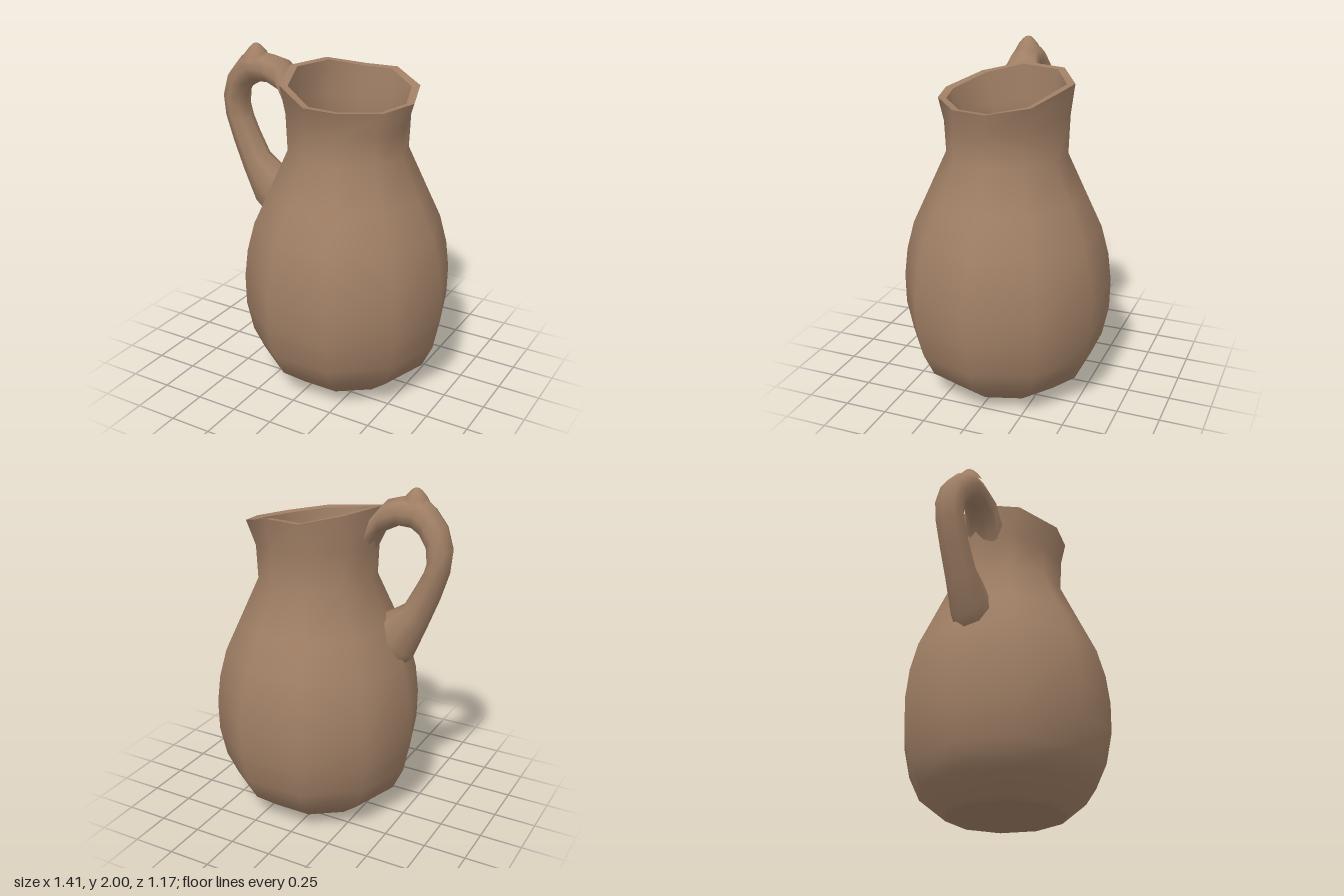
import * as THREE from 'three';

const SIDES = 10;
const CENTRE_X = 0.085;

// Skin a list of closed rings (each a list of [x, y, z]) with smooth normals
function loft(rings) {
  const n = rings[0].length;
  const index = [];
  for (let i = 0; i < rings.length - 1; i++) {
    for (let k = 0; k < n; k++) {
      const a = i * n + k, b = i * n + (k + 1) % n;
      index.push(a, a + n, b, b, a + n, b + n);
    }
  }
  const geometry = new THREE.BufferGeometry();
  geometry.setAttribute('position', new THREE.Float32BufferAttribute(rings.flat(2), 3));
  geometry.setIndex(index);
  geometry.computeVertexNormals();
  return geometry;
}

// Level ten-sided ring of the pot
function ring(r, y) {
  return Array.from({ length: SIDES }, (_, k) => {
    const t = (k / SIDES) * Math.PI * 2;
    return [CENTRE_X + r * Math.cos(t), y, r * Math.sin(t)];
  });
}

// Uneven hand-shaped rim, and inset copies of it
const RIM = [
  [0.475, 1.75, -0.03], [0.4, 1.74, 0.19], [0.22, 1.755, 0.36], [0.03, 1.77, 0.4], [-0.2, 1.83, 0.27],
  [-0.28, 1.885, 0.03], [-0.2, 1.885, -0.24], [0, 1.845, -0.37], [0.2, 1.85, -0.37], [0.4, 1.79, -0.26],
];
const insetRim = (s, dy) => RIM.map(([x, y, z]) => [CENTRE_X + (x - CENTRE_X) * s, y + dy, z * s]);

// Neck ring leaning partly with the rim
const neckRing = (r, y) => ring(r, y).map(([x, h, z], k) => [x, h + (RIM[k][1] - 1.8) * 0.5, z]);

export function createModel() {
  const group = new THREE.Group();
  const clay = new THREE.MeshStandardMaterial({ color: 0xa07f65 });
  clay.name = 'brown clay';
  const add = (name, geometry) => {
    const mesh = new THREE.Mesh(geometry, clay);
    mesh.name = name;
    group.add(mesh);
    return mesh;
  };

  // Belly and neck: [radius, height]
  const profile = [
    [0.35, 0.03], [0.51, 0.16], [0.575, 0.3], [0.612, 0.48], [0.615, 0.66],
    [0.595, 0.83], [0.55, 1.0], [0.458, 1.2], [0.348, 1.44],
  ];
  add('outerWall', loft([...profile.map(([r, y]) => ring(r, y)), neckRing(0.356, 1.64), RIM]));
  add('base', loft([ring(0, 0), ring(0.35, 0.03)]));

  // Rim lip and hollow inside
  add('rimLip', loft([RIM, insetRim(0.88, -0.005)]));
  const inside = profile.slice(1).reverse().map(([r, y]) => ring(r - (y > 1.4 ? 0.045 : 0.06), y));
  add('innerWall', loft([insetRim(0.88, -0.005), neckRing(0.315, 1.64), ...inside, ring(0.3, 0.08), ring(0, 0.07)]));

  // Handle stations: outer x, y, inner x, y, middle z, half width
  const stations = [
    [-0.235, 1.83, -0.235, 1.6, 0.04, 0.13],
    [-0.32, 1.925, -0.29, 1.735, 0.06, 0.11],
    [-0.41, 1.95, -0.38, 1.78, 0.075, 0.095],
    [-0.52, 1.955, -0.46, 1.775, 0.08, 0.09],
    [-0.585, 1.91, -0.52, 1.74, 0.075, 0.09],
    [-0.665, 1.82, -0.56, 1.68, 0.065, 0.09],
    [-0.71, 1.69, -0.565, 1.6, 0.06, 0.09],
    [-0.7, 1.56, -0.545, 1.54, 0.06, 0.09],
    [-0.65, 1.4, -0.505, 1.46, 0.06, 0.09],
    [-0.58, 1.22, -0.44, 1.34, 0.06, 0.095],
    [-0.5, 1.02, -0.33, 1.27, 0.055, 0.11],
    [-0.44, 0.96, -0.28, 1.23, 0.05, 0.11],
  ];
  add('handle', loft(stations.map(([ox, oy, ix, iy, z, w]) =>
    Array.from({ length: 8 }, (_, k) => {
      const t = (k / 8) * Math.PI * 2;
      const s = (1 + Math.cos(t)) / 2;
      return [ix + (ox - ix) * s, iy + (oy - iy) * s, z + w * Math.sin(t)];
    }))));

  // Small pointed thumb rest on top of the handle
  const knob = [[0.09, -0.1], [0.062, -0.05], [0.036, -0.02], [0.018, -0.004], [0, 0]];
  const thumbRest = add('thumbRest', new THREE.LatheGeometry(knob.map(([r, y]) => new THREE.Vector2(r, y)), 8));
  thumbRest.position.set(-0.475, 2, 0.085);

  return group;
}
